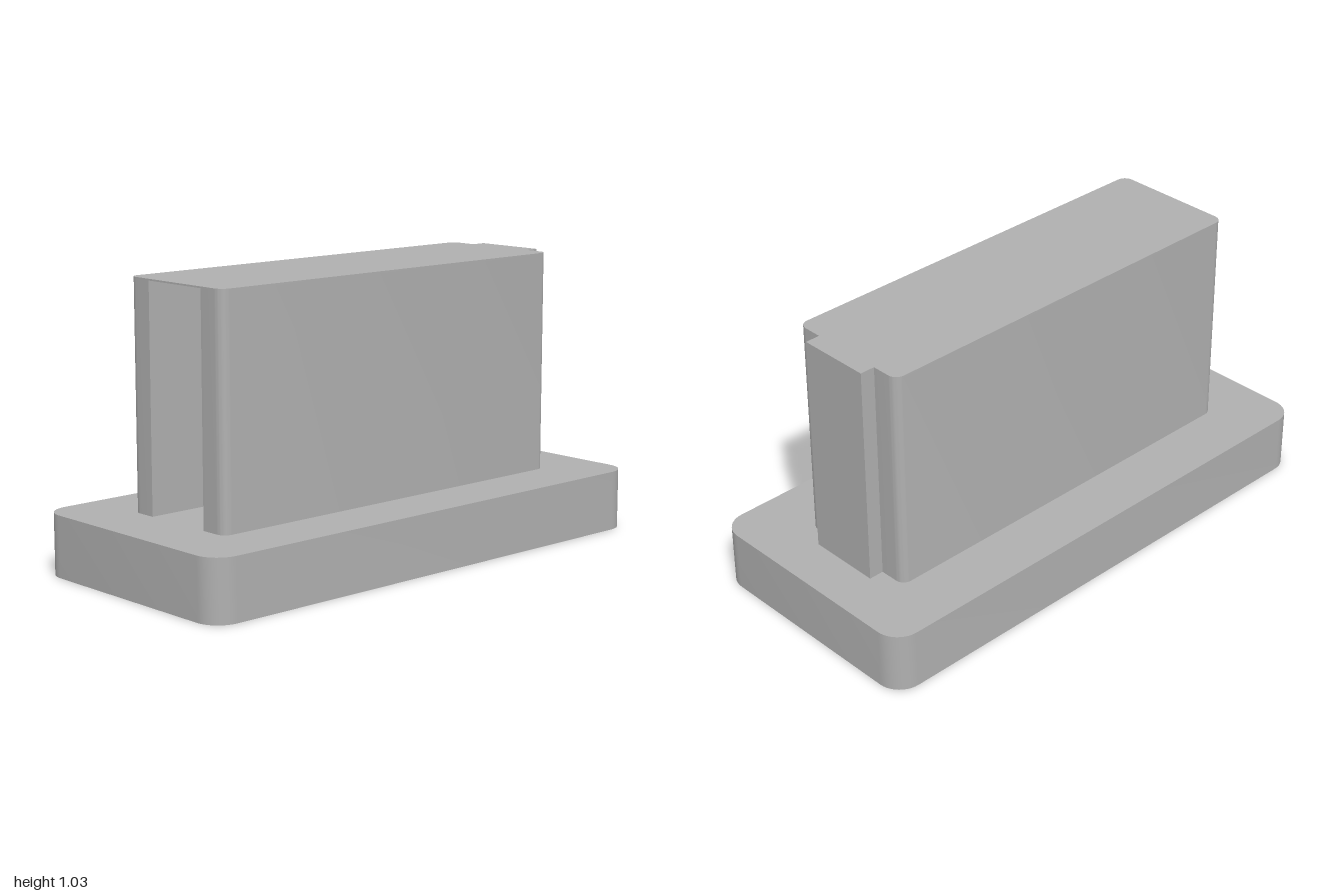
import * as THREE from 'three';
import { toCreasedNormals } from 'three/addons/utils/BufferGeometryUtils.js';

const BASE_TOP = 0.22, TOP = 1.03, LID = 0.006;

// Closed outline from [x, y, cornerRadius] points, rounding each corner by its radius
function outline(points) {
  const shape = new THREE.Shape();
  const n = points.length;
  points.forEach(([x, y, r = 0], i) => {
    const p = new THREE.Vector2(x, y);
    const toward = ([qx, qy]) => new THREE.Vector2(qx - x, qy - y).setLength(r).add(p);
    const a = r ? toward(points[(i + n - 1) % n]) : p;
    const b = r ? toward(points[(i + 1) % n]) : p;
    if (i === 0) shape.moveTo(a.x, a.y);
    else shape.lineTo(a.x, a.y);
    if (r) {
      // cubic approximation of a quarter circle
      const k = 0.5523;
      const c1 = a.clone().lerp(p, k), c2 = b.clone().lerp(p, k);
      shape.bezierCurveTo(c1.x, c1.y, c2.x, c2.y, b.x, b.y);
    }
  });
  shape.closePath();
  return shape;
}

// Upright prism standing on height y
function prism(name, shape, y, height, material) {
  const geo = new THREE.ExtrudeGeometry(shape, { depth: height, bevelEnabled: false, curveSegments: 10 });
  geo.rotateX(-Math.PI / 2);
  const mesh = new THREE.Mesh(toCreasedNormals(geo, 0.6), material);
  mesh.name = name;
  mesh.position.y = y;
  return mesh;
}

export function createModel() {
  const grey = new THREE.MeshStandardMaterial({ color: 0xb0b0b0 });
  grey.name = 'plain grey';
  const model = new THREE.Group();
  model.name = 'slottedBlockOnBase';

  // Rounded base slab
  const R = 0.09;
  model.add(prism('base', outline([[-1, -0.46, R], [1, -0.46, R], [1, 0.46, R], [-1, 0.46, R]]), 0, BASE_TOP, grey));

  // Body outline: rounded corners and a tongue at the +x end
  const x0 = -0.78, x1 = 0.775, tip = 0.83, w = 0.24, t = 0.136, r = 0.035;
  const outer = [
    [x0, -w, r], [x1, -w, r], [x1, -t], [tip, -t],
    [tip, t], [x1, t], [x1, w, r], [x0, w, r],
  ];
  // Matching channel entering from the -x end
  const slot = [[x0, t], [0.7, t], [0.7, -t], [x0, -t]];
  model.add(prism('bodyWalls', outline([...outer, ...slot]), BASE_TOP, TOP - BASE_TOP - LID, grey));

  // Thin lid closing the channel
  model.add(prism('lid', outline(outer), TOP - LID, LID, grey));
  return model;
}
